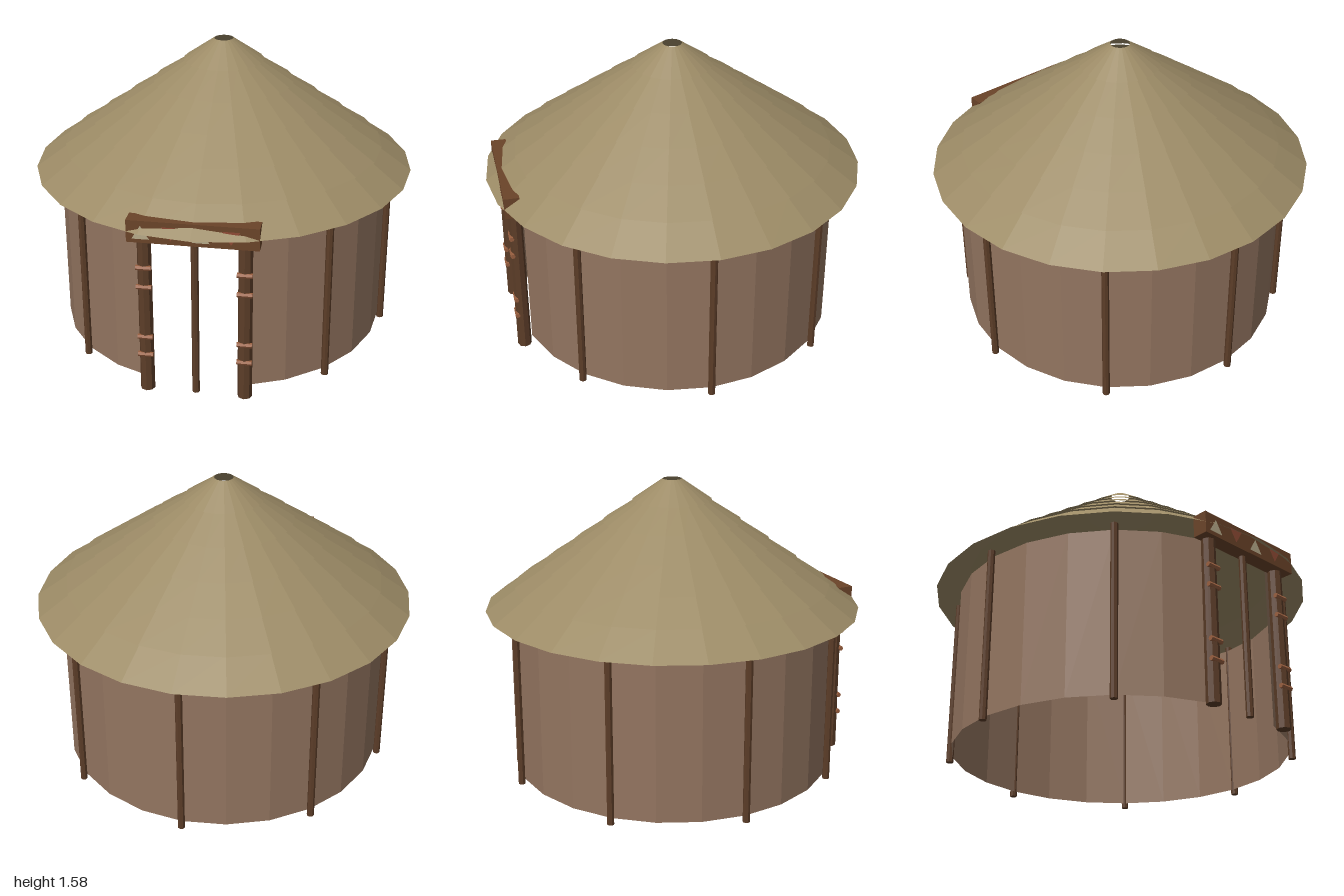
import * as THREE from 'three';

const mat = (color, side = THREE.FrontSide) =>
  new THREE.MeshStandardMaterial({ color, flatShading: true, side });

export function createModel() {
  const hut = new THREE.Group();
  hut.name = 'roundHut';
  const thatch = mat(0x9c8b66, THREE.DoubleSide);
  const clay = mat(0x937560, THREE.DoubleSide);
  const wood = mat(0x5c3d28);
  const rope = mat(0x9a6040);
  const plank = mat(0x6b4429);
  const cream = mat(0xb8ab8a, THREE.DoubleSide);
  const red = mat(0x8f4a35, THREE.DoubleSide);

  const add = (name, geometry, material, x = 0, y = 0, z = 0) => {
    const mesh = new THREE.Mesh(geometry, material);
    mesh.name = name;
    mesh.position.set(x, y, z);
    hut.add(mesh);
    return mesh;
  };

  // Thatched roof: open overlapping tiers with a smoke hole at the top
  const radii = [1, 0.842, 0.684, 0.526, 0.368, 0.21];
  const levels = [0.9, 1.022, 1.134, 1.246, 1.358, 1.469, 1.58];
  radii.forEach((r, i) => {
    const top = i < 5 ? radii[i + 1] - 0.015 : 0.05;
    const h = levels[i + 1] - levels[i];
    add('roofTier', new THREE.CylinderGeometry(top, r, h, 24, 1, true), thatch, 0, levels[i] + h / 2, 0);
  });

  // Round wall with a doorway gap at the front
  const deg = Math.PI / 180;
  add('wall', new THREE.CylinderGeometry(0.87, 0.87, 0.85, 22, 1, true, 15 * deg, 330 * deg), clay, 0, 0.45, 0);

  // Ring of posts carrying the eaves
  for (let i = 0; i < 8; i++) {
    const a = i * 45 * deg;
    add('eavePost', new THREE.CylinderGeometry(0.019, 0.019, 0.9, 8), wood,
      Math.sin(a) * 0.885, 0.45, Math.cos(a) * 0.885);
  }

  // Door jambs with cross bindings on their front
  for (const s of [-1, 1]) {
    add('doorJamb', new THREE.CylinderGeometry(0.035, 0.037, 0.88, 8), wood, s * 0.247, 0.44, 0.884);
    for (const y of [0.21, 0.31, 0.59, 0.695]) {
      const band = add('jambBinding', new THREE.CylinderGeometry(0.013, 0.013, 0.076, 6), rope, s * 0.247, y, 0.912);
      band.rotation.z = Math.PI / 2;
    }
  }

  // Lintel with a row of painted triangles
  add('lintel', new THREE.BoxGeometry(0.64, 0.115, 0.08), plank, 0, 0.9025, 0.9);
  for (let i = 0; i < 4; i++) {
    const d = i % 2 ? -1 : 1;
    const tri = new THREE.Shape([
      new THREE.Vector2(-0.043 * d, -0.035 * d),
      new THREE.Vector2(0.043 * d, -0.035 * d),
      new THREE.Vector2(0, 0.035 * d),
    ]);
    add('lintelTriangle', new THREE.ShapeGeometry(tri), i % 2 ? red : cream, -0.25 + i * 0.145, 0.9, 0.942);
  }
  return hut;
}
